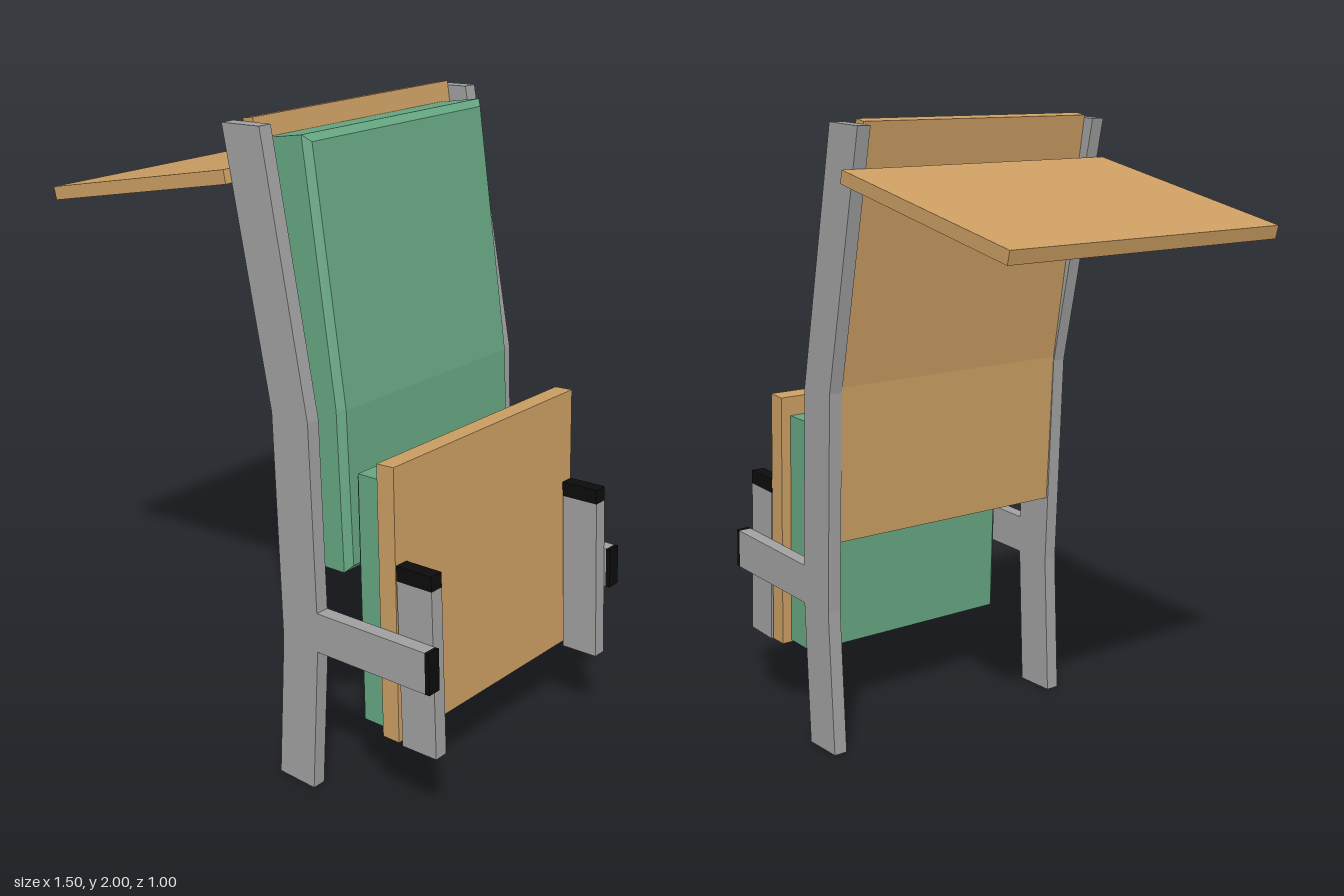
import * as THREE from 'three';

const material = (name, color) => {
  const m = new THREE.MeshStandardMaterial({ color });
  m.name = name;
  return m;
};

// Extrudes a side profile (x, y) between two z positions
function slab(name, mat, points, z0, z1) {
  const shape = new THREE.Shape(points.map(([x, y]) => new THREE.Vector2(x, y)));
  const geo = new THREE.ExtrudeGeometry(shape, { depth: z1 - z0, bevelEnabled: false });
  geo.translate(0, 0, z0);
  const mesh = new THREE.Mesh(geo, mat);
  mesh.name = name;
  return mesh;
}

// Cushion with chamfered front edges; each station is [back, shoulder, front] in (x, y).
// A station without a front point closes the chamfer at that end.
function cushion(name, mat, stations, zMid, halfWidth, chamfer) {
  const rings = stations.map(([back, shoulder, front]) => {
    const f = front || shoulder;
    const w = front ? halfWidth - chamfer : halfWidth;
    return [
      [...back, zMid - halfWidth], [...shoulder, zMid - halfWidth], [...f, zMid - w],
      [...f, zMid + w], [...shoulder, zMid + halfWidth], [...back, zMid + halfWidth],
    ];
  });
  const pos = [];
  const tri = (a, b, c) => pos.push(...a, ...b, ...c);
  for (let s = 0; s < rings.length - 1; s++) {
    const p = rings[s], q = rings[s + 1];
    for (let i = 0; i < 6; i++) {
      const j = (i + 1) % 6;
      tri(p[i], p[j], q[j]);
      tri(p[i], q[j], q[i]);
    }
  }
  const first = rings[0], last = rings[rings.length - 1];
  for (let i = 1; i < 5; i++) {
    tri(first[0], first[i + 1], first[i]);
    tri(last[0], last[i], last[i + 1]);
  }
  const geo = new THREE.BufferGeometry();
  geo.setAttribute('position', new THREE.Float32BufferAttribute(pos, 3));
  geo.computeVertexNormals();
  const mesh = new THREE.Mesh(geo, mat);
  mesh.name = name;
  return mesh;
}

export function createModel() {
  const group = new THREE.Group();
  group.name = 'foldingSeat';
  const grey = material('grey metal', 0xa0a0a0);
  const wood = material('light wood', 0xcb9e62);
  const green = material('green fabric', 0x66a682);
  const black = material('black rubber', 0x0c0c0c);
  const zMid = 0.005;

  // Side frames with armrest-like stops, and the folded seat's brackets
  const frame = [
    [0.165, 0], [0.305, 0], [0.323, 0.472], [0.73, 0.49], [0.724, 0.618],
    [0.321, 0.598], [0.29, 1.18], [0.12, 1.99], [-0.025, 1.983], [0.15, 1.18], [0.185, 0.472],
  ];
  const stop = [[0.73, 0.49], [0.745, 0.491], [0.739, 0.62], [0.724, 0.618]];
  const bracket = [[0.614, 0.255], [0.738, 0.262], [0.708, 0.78], [0.583, 0.773]];
  const cap = [[0.583, 0.773], [0.708, 0.78], [0.705, 0.826], [0.58, 0.819]];
  for (const [side, s] of [['left', 1], ['right', -1]]) {
    const span = (a, b) => (s > 0 ? [zMid + a, zMid + b] : [zMid - b, zMid - a]);
    group.add(slab(side + 'Frame', grey, frame, ...span(0.425, 0.47)));
    group.add(slab(side + 'FrameStop', black, stop, ...span(0.425, 0.47)));
    group.add(slab(side + 'SeatBracket', grey, bracket, ...span(0.379, 0.424)));
    group.add(slab(side + 'BracketCap', black, cap, ...span(0.379, 0.424)));
  }

  // Backrest board and its bent cushion
  group.add(slab('backBoard', wood, [
    [0.05, 2], [0.012, 1.993], [0.15, 1.195], [0.18, 0.698], [0.22, 0.7], [0.19, 1.2],
  ], zMid - 0.424, zMid + 0.424));
  group.add(cushion('backCushion', green, [
    [[0.057, 1.94], [0.2, 1.966]],
    [[0.061, 1.918], [0.203, 1.944], [0.221, 1.947]],
    [[0.19, 1.2], [0.325, 1.205], [0.345, 1.206]],
    [[0.219, 0.725], [0.355, 0.732], [0.375, 0.734]],
    [[0.22, 0.704], [0.356, 0.712]],
  ], zMid, 0.39, 0.02));

  // Folded-up seat board and cushion
  group.add(slab('seatBoard', wood, [
    [0.505, 1.105], [0.54, 0.258], [0.6, 0.26], [0.566, 1.11],
  ], zMid - 0.424, zMid + 0.424));
  group.add(cushion('seatCushion', green, [
    [[0.54, 0.264], [0.44, 0.26], [0.42, 0.259]],
    [[0.509, 1.022], [0.409, 1.018], [0.389, 1.017]],
    [[0.508, 1.042], [0.408, 1.038]],
  ], zMid, 0.39, 0.02));

  // Sloping table behind the backrest
  group.add(slab('tableTop', wood, [
    [-0.75, 1.7], [-0.74, 1.66], [0.012, 1.82], [0.003, 1.86],
  ], -0.503, 0.5));

  return group;
}
